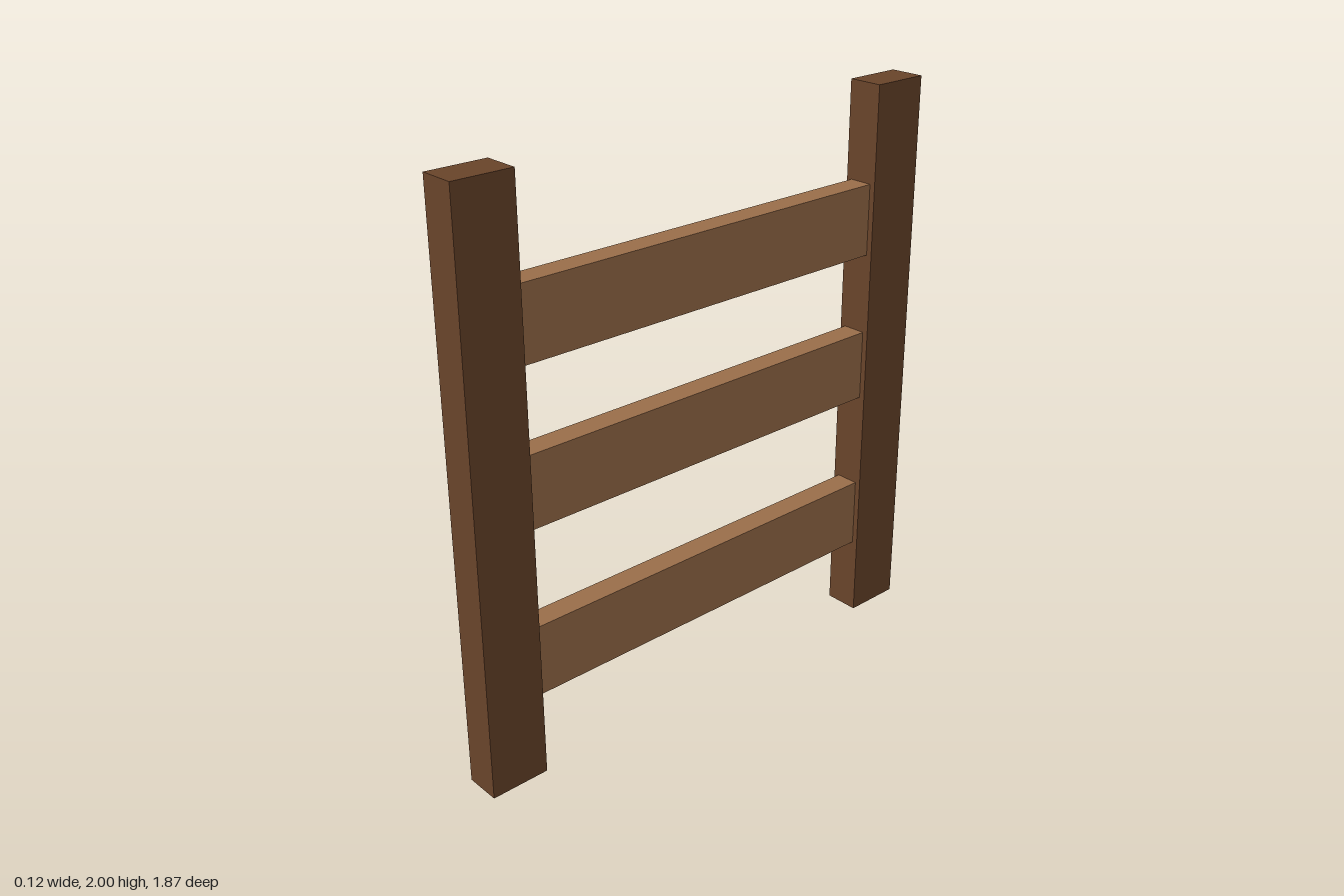
import * as THREE from 'three';

export function createModel() {
  const fence = new THREE.Group();
  fence.name = 'fencePanel';

  const darkWood = new THREE.MeshStandardMaterial({ color: 0x69442a });
  const lightWood = new THREE.MeshStandardMaterial({ color: 0x9a6e4a });

  const height = 2, postWidth = 0.125, postDepth = 0.208, outerZ = 0.935;
  const postZ = outerZ - postDepth / 2;
  const railLength = 2 * (outerZ - postDepth);

  // Upright posts at both ends
  const postGeometry = new THREE.BoxGeometry(postWidth, height, postDepth);
  for (const [name, side] of [['frontPost', 1], ['backPost', -1]]) {
    const post = new THREE.Mesh(postGeometry, darkWood);
    post.name = name;
    post.position.set(0, height / 2, side * postZ);
    fence.add(post);
  }

  // Horizontal rails fitted between the posts
  const railGeometry = new THREE.BoxGeometry(0.084, 0.25, railLength);
  for (const [name, y] of [['lowerRail', 0.408], ['middleRail', 1.002], ['upperRail', 1.537]]) {
    const rail = new THREE.Mesh(railGeometry, lightWood);
    rail.name = name;
    rail.position.y = y;
    fence.add(rail);
  }

  return fence;
}
